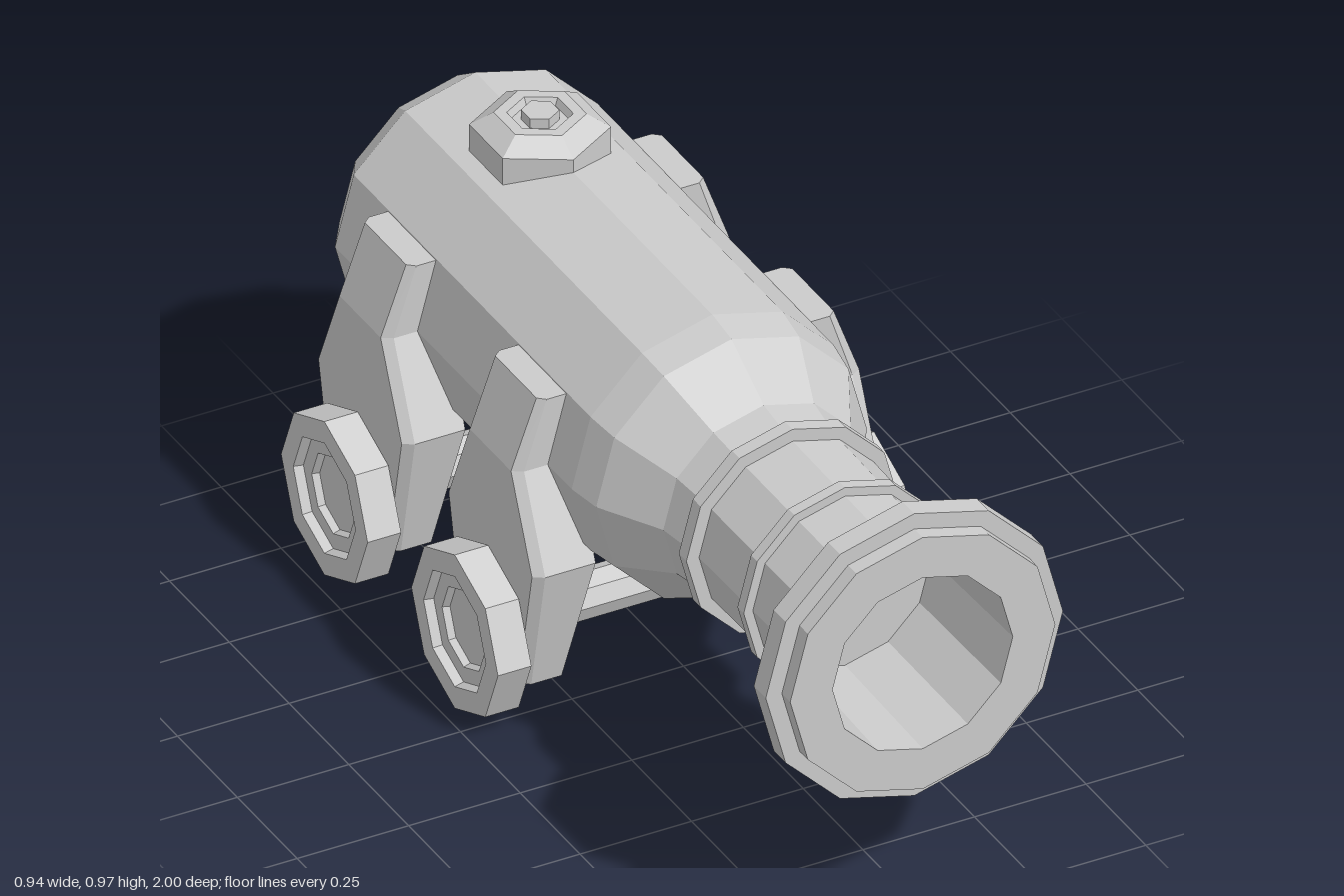
import * as THREE from 'three';

const material = new THREE.MeshStandardMaterial({ color: 0xcccccc, flatShading: true });

function part(name, geometry) {
  const mesh = new THREE.Mesh(geometry, material);
  mesh.name = name;
  return mesh;
}

// Faceted solid of revolution around y, from [radius, height] pairs
function turned(profile, sides) {
  return new THREE.LatheGeometry(profile.map(([r, h]) => new THREE.Vector2(r, h)), sides);
}

// Side bracket: six-cornered cross-sections stacked upwards, outer edges bevelled
function bracketGeometry() {
  // [y, inner x, bevel x, outer x, half width]
  const rows = [
    [0.1, 0.3, 0.368, 0.39, 0.13],
    [0.385, 0.255, 0.368, 0.39, 0.188],
    [0.585, 0.25, 0.368, 0.39, 0.1],
    [0.74, 0.25, 0.317, 0.333, 0.1],
  ];
  const loops = rows.map(([y, xi, xb, xo, w]) => [
    [xi, y, w], [xb, y, w], [xo, y, w - 0.014],
    [xo, y, 0.014 - w], [xb, y, -w], [xi, y, -w],
  ]);
  const positions = [];
  const tri = (a, b, c) => positions.push(...a, ...b, ...c);
  for (let i = 0; i < loops.length - 1; i++) {
    for (let j = 0; j < 6; j++) {
      const k = (j + 1) % 6;
      const [a, b, c, d] = [loops[i][j], loops[i][k], loops[i + 1][k], loops[i + 1][j]];
      tri(a, b, c);
      tri(a, c, d);
    }
  }
  const bottom = loops[0], top = loops[loops.length - 1];
  for (let j = 1; j < 5; j++) {
    tri(bottom[0], bottom[j + 1], bottom[j]);
    tri(top[0], top[j], top[j + 1]);
  }
  const geometry = new THREE.BufferGeometry();
  geometry.setAttribute('position', new THREE.Float32BufferAttribute(positions, 3));
  geometry.computeVertexNormals();
  return geometry;
}

export function createModel() {
  const model = new THREE.Group();
  model.name = 'cannon';

  // Barrel: rounded back, body, neck, flared muzzle and bore in one profile
  const barrel = part('barrel', turned([
    [0, -1], [0.17, -1], [0.265, -0.945], [0.315, -0.87],
    [0.315, 0.12], [0.303, 0.2], [0.225, 0.335], [0.21, 0.44],
    [0.205, 0.8], [0.333, 0.915], [0.333, 0.965], [0.297, 0.965],
    [0.297, 1], [0.202, 1], [0.182, 0.3], [0, 0.3],
  ], 12).rotateX(Math.PI / 2));
  barrel.position.y = 0.585;
  model.add(barrel);

  // Raised bands around the neck
  for (const [z, r, w] of [[0.44, 0.238, 0.032], [0.662, 0.227, 0.026]]) {
    const band = part('neckBand', new THREE.CylinderGeometry(r, r, w, 12).rotateX(Math.PI / 2));
    band.position.set(0, 0.585, z);
    model.add(band);
  }

  // Six-sided fuse cap on top
  const cap = part('fuseCap', turned([
    [0.14, 0.85], [0.14, 0.93], [0.092, 0.96], [0.066, 0.96], [0.058, 0.945],
    [0.038, 0.945], [0.038, 0.967], [0, 0.967],
  ], 6));
  cap.position.z = -0.6;
  model.add(cap);

  // Undercarriage: two axles, each with a bracket and a wheel on both sides
  const bracket = bracketGeometry();
  const wheelGeometry = turned([
    [0, 0.395], [0.181, 0.395], [0.181, 0.47], [0.13, 0.47], [0.125, 0.45],
    [0.09, 0.45], [0.085, 0.435], [0, 0.435],
  ], 8).rotateZ(-Math.PI / 2);
  const axleGeometry = new THREE.CylinderGeometry(0.051, 0.051, 0.8, 8).rotateZ(Math.PI / 2);

  for (const [name, z] of [['front', -0.08], ['rear', -0.625]]) {
    const axle = part(name + 'Axle', axleGeometry);
    axle.position.set(0, 0.181, z);
    model.add(axle);
    for (const [side, turn] of [['Left', 0], ['Right', Math.PI]]) {
      const support = new THREE.Group();
      support.name = name + side + 'Support';
      const wheel = part('wheel', wheelGeometry);
      wheel.position.y = 0.181;
      support.add(part('bracket', bracket), wheel);
      support.position.z = z;
      support.rotation.y = turn;
      model.add(support);
    }
  }
  return model;
}
